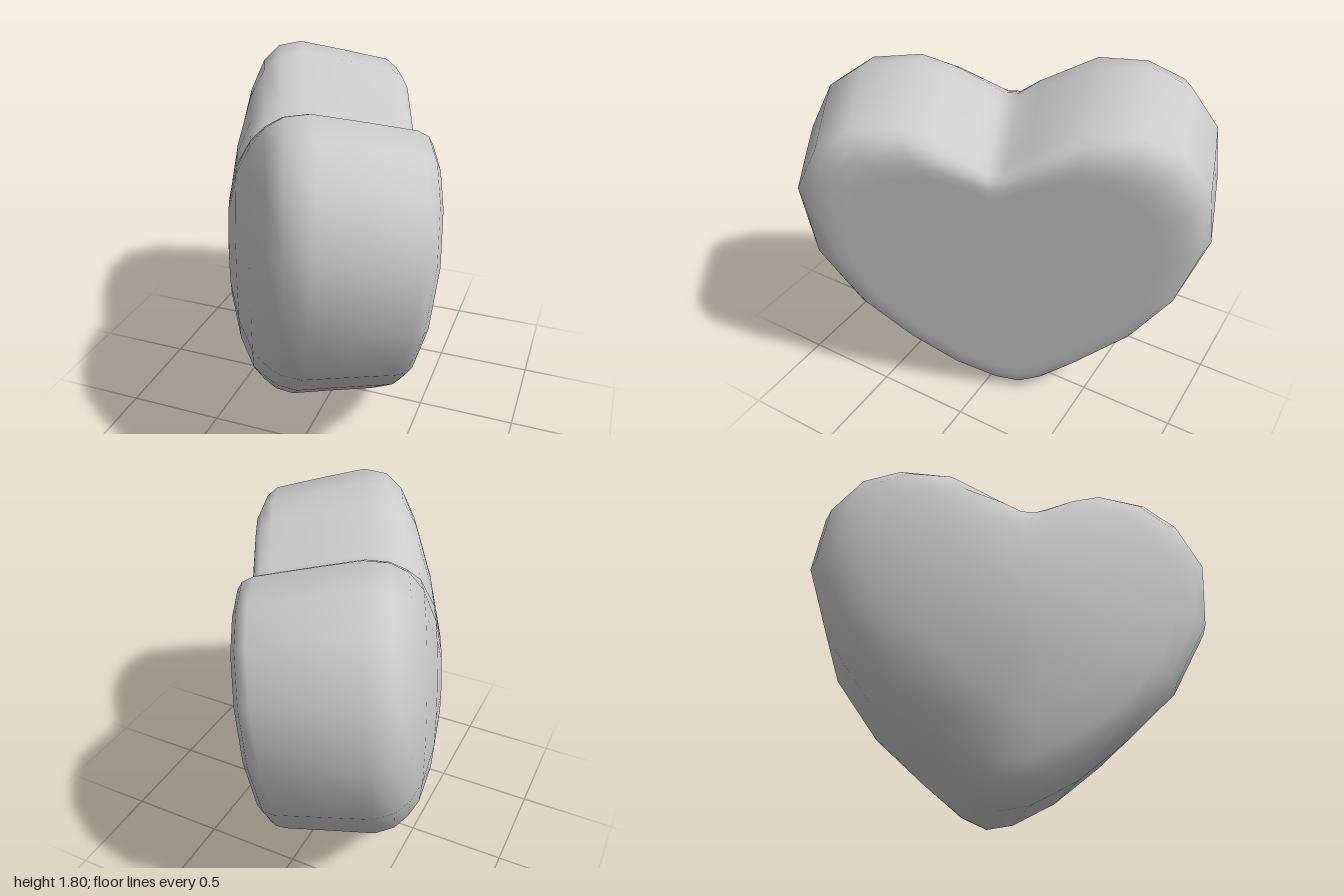
import * as THREE from 'three';

// Widest outline of the heart, counter-clockwise from the bottom tip
const OUTLINE = [
  [-0.1, -0.03], [0.04, 0], [0.27, 0.13], [0.53, 0.35], [0.79, 0.61], [0.99, 0.97],
  [1.02, 1.34], [0.89, 1.59], [0.71, 1.715], [0.46, 1.745], [0.3, 1.69], [0.13, 1.6],
  [0.05, 1.55], [-0.03, 1.55], [-0.14, 1.63], [-0.42, 1.775], [-0.66, 1.77], [-0.85, 1.68],
  [-1.0, 1.47], [-1.045, 1.16], [-0.93, 0.78], [-0.71, 0.46], [-0.44, 0.215], [-0.23, 0.03],
];

// Cross-sections [depth, scale, roundness]: flat face, bevel, flared rim, domed face
const LAYERS = [
  [-0.335, 0.75, 0.2], [-0.335, 0.81, 0.2], [-0.325, 0.875, 0.15], [-0.295, 0.92, 0.07],
  [-0.24, 0.945, 0], [0, 0.975, 0], [0.2, 1, 0], [0.3, 0.97, 0], [0.37, 0.9, 0.05],
  [0.43, 0.79, 0.3], [0.495, 0.56, 0.7], [0.54, 0.28, 1],
];
const CENTRE_Y = 0.85;
const DOME_RADIUS = 0.9;
const TAPER = 0.17;

function heartGeometry() {
  const n = OUTLINE.length;
  const positions = [];
  const index = [];
  for (const [z, scale, roundness] of LAYERS) {
    for (const [x, y] of OUTLINE) {
      // Rings turn from heart-shaped to round towards the middle of each face
      const radius = Math.hypot(x, y - CENTRE_Y);
      const s = scale * THREE.MathUtils.lerp(1, DOME_RADIUS / radius, roundness);
      const py = (y - CENTRE_Y) * s;
      // The domed side grows thinner towards the tip
      positions.push(x * s, py, z > 0 ? z * (1 + TAPER * py) : z);
    }
  }
  const flatCentre = positions.length / 3;
  positions.push(0, 0, LAYERS[0][0], 0, 0, 0.555);

  const last = (LAYERS.length - 1) * n;
  for (let j = 0; j < n; j++) {
    const k = (j + 1) % n;
    for (let r = 0; r < last; r += n) {
      index.push(r + j, r + k, r + n + k, r + j, r + n + k, r + n + j);
    }
    index.push(flatCentre, k, j, flatCentre + 1, last + j, last + k);
  }

  const geometry = new THREE.BufferGeometry();
  geometry.setAttribute('position', new THREE.Float32BufferAttribute(positions, 3));
  geometry.setIndex(index);
  geometry.computeVertexNormals();
  return geometry;
}

export function createModel() {
  const group = new THREE.Group();
  const heart = new THREE.Mesh(heartGeometry(), new THREE.MeshStandardMaterial({ color: 0xcccccc }));
  heart.name = 'heart';
  // Turned to the side and leaning slightly towards its flat face
  heart.rotation.set(-0.1, -1.148, 0, 'YXZ');
  heart.position.y = CENTRE_Y;
  group.add(heart);
  return group;
}
